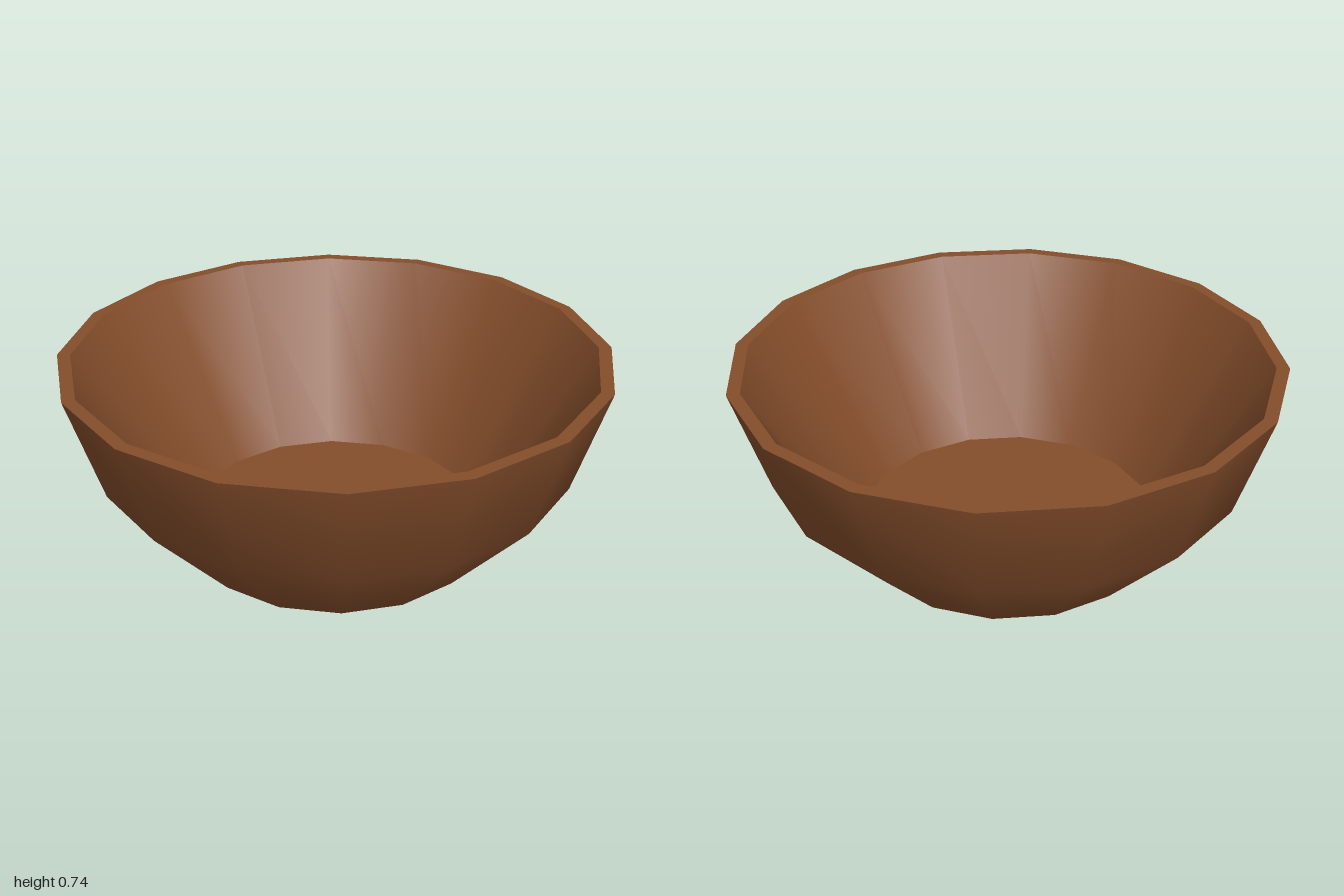
import * as THREE from 'three';

const SIDES = 16;
const HEIGHT = 0.744;
const FLOOR = 0.063;

export function createModel() {
  const bowl = new THREE.Group();
  bowl.name = 'bowl';
  const brown = new THREE.MeshStandardMaterial({ color: 0x854e2b });
  brown.name = 'brown wood';

  // Each part is a band turned round the y axis; separate bands keep the rim and floor edges sharp
  const addBand = (name, profile) => {
    const points = profile.map(([r, y]) => new THREE.Vector2(r, y));
    const mesh = new THREE.Mesh(new THREE.LatheGeometry(points, SIDES), brown);
    mesh.name = name;
    bowl.add(mesh);
  };

  addBand('base', [[0, 0], [0.57, 0]]);
  addBand('outerWall', [[0.57, 0], [0.88, 0.35], [1, HEIGHT]]);
  addBand('rim', [[1, HEIGHT], [0.953, HEIGHT]]);
  // The inside is a plain straight cone down to the floor
  addBand('innerWall', [[0.953, HEIGHT], [0.57, FLOOR]]);
  addBand('floor', [[0.57, FLOOR], [0, FLOOR]]);

  return bowl;
}
